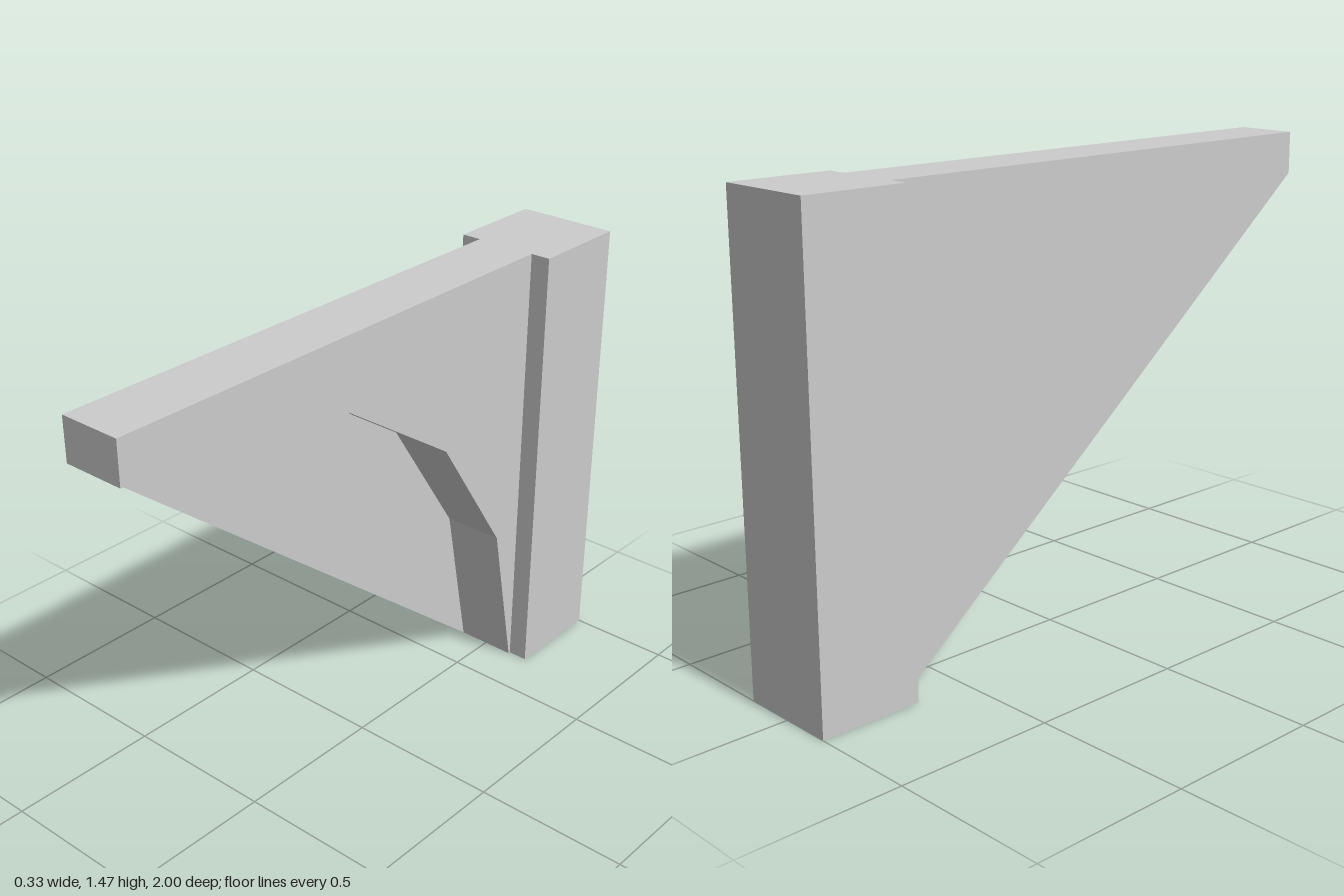
import * as THREE from 'three';

const HEIGHT = 1.465, ARM_HALF = 0.1, POST_HALF = 0.165, POST_FRONT = -0.67;

// Faceted underside of the arm, as (z, y) from the tip back to the post foot
const ARCH = [[1, 1.33], [0.67, 1.33], [0.165, 1.23], [-0.275, 0.94], [-0.56, 0.51], [-0.663, 0]];

const toShape = (points) => new THREE.Shape(points.map(([z, y]) => new THREE.Vector2(z, y)));

export function createModel() {
  const group = new THREE.Group();
  const material = new THREE.MeshStandardMaterial({ color: 0xcccccc, flatShading: true });
  const sheet = material.clone();
  sheet.side = THREE.DoubleSide;

  const add = (name, geometry, mat = material) => {
    const mesh = new THREE.Mesh(geometry, mat);
    mesh.name = name;
    group.add(mesh);
    return mesh;
  };

  // Upright post at the back
  const depth = POST_FRONT + 1;
  add('post', new THREE.BoxGeometry(POST_HALF * 2, HEIGHT, depth))
    .position.set(0, HEIGHT / 2, -1 + depth / 2);

  // Arm with arched underside, profile turned so that its x runs along z
  const profile = [...ARCH, [POST_FRONT, 0], [POST_FRONT, HEIGHT], [1, HEIGHT]];
  const arm = new THREE.ExtrudeGeometry(toShape(profile), { depth: ARM_HALF * 2, bevelEnabled: false });
  arm.rotateY(-Math.PI / 2).translate(ARM_HALF, 0, 0);
  add('archedArm', arm);

  // Thin web closing the arch on one side, with a straight diagonal lower edge
  const web = new THREE.ShapeGeometry(toShape(ARCH));
  web.rotateY(-Math.PI / 2).translate(-ARM_HALF, 0, 0);
  add('sideWeb', web, sheet);

  return group;
}
